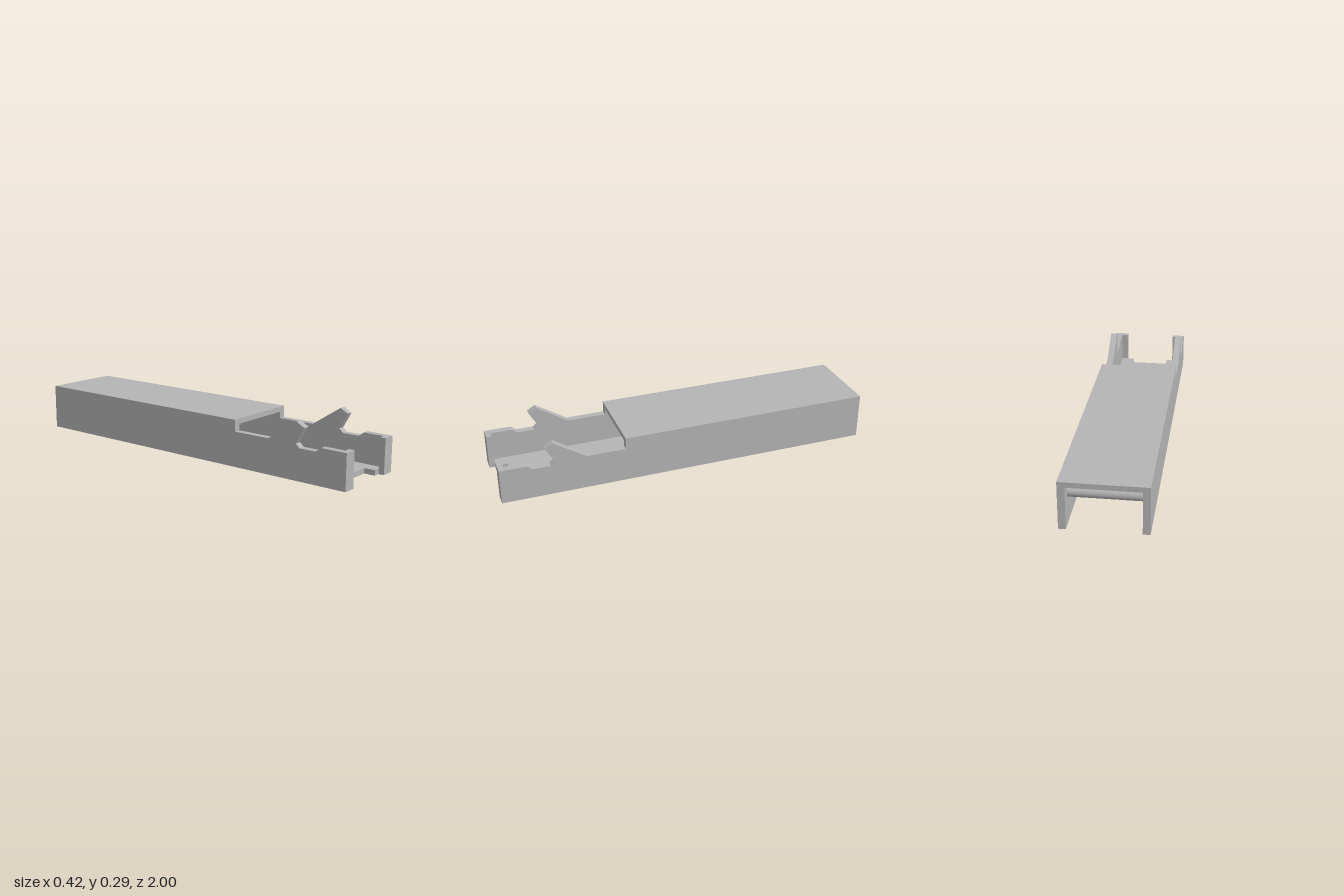
import * as THREE from 'three';

const HALF = 0.212;   // outer half width
const INNER = 0.176;  // inner half width

function extrude(points, depth) {
  const shape = new THREE.Shape(points.map(([a, b]) => new THREE.Vector2(a, b)));
  return new THREE.ExtrudeGeometry(shape, { depth, bevelEnabled: false });
}

export function createModel() {
  const model = new THREE.Group();
  model.name = 'channelHousing';
  const metal = new THREE.MeshStandardMaterial({ color: 0xb4b4b4 });
  metal.name = 'plain grey';

  function add(name, geometry, x = 0, y = 0, z = 0) {
    const mesh = new THREE.Mesh(geometry, metal);
    mesh.name = name;
    mesh.position.set(x, y, z);
    model.add(mesh);
  }

  // Side wall outline as (z, y), with the notch and the forward-leaning hook
  const wall = extrude([
    [-1, 0], [1, 0], [1, 0.187], [0.86, 0.187], [0.83, 0.165], [0.74, 0.165],
    [0.717, 0.185], [0.764, 0.268], [0.72, 0.292], [0.555, 0.184],
    [0.348, 0.184], [0.348, 0.245], [-1, 0.245],
  ], HALF - INNER).rotateY(-Math.PI / 2);
  add('leftWall', wall, HALF);
  add('rightWall', wall, -INNER);

  // Inward lips closing the front corners
  const lip = new THREE.BoxGeometry(INNER - 0.143, 0.187, 0.03);
  for (const side of [1, -1]) {
    add(side > 0 ? 'leftFrontLip' : 'rightFrontLip', lip, side * (INNER + 0.143) / 2, 0.0935, 0.985);
  }

  // Roof over the rear two thirds
  add('roof', new THREE.BoxGeometry(INNER * 2, 0.027, 1.348), 0, 0.2315, -0.326);

  // Floor as (x, z), notched at the front and open underneath at the rear
  const floor = extrude([
    [-INNER, -0.36], [INNER, -0.36], [INNER, 0.97], [0.107, 0.97],
    [0.107, 0.91], [-0.107, 0.91], [-0.107, 0.97], [-INNER, 0.97],
  ], 0.028).rotateX(Math.PI / 2);
  add('floor', floor, 0, 0.028);

  // Cross pin near the rear
  const pin = new THREE.CylinderGeometry(0.0275, 0.0275, INNER * 2, 40).rotateZ(Math.PI / 2);
  add('rearPin', pin, 0, 0.1575, -0.92);

  return model;
}
